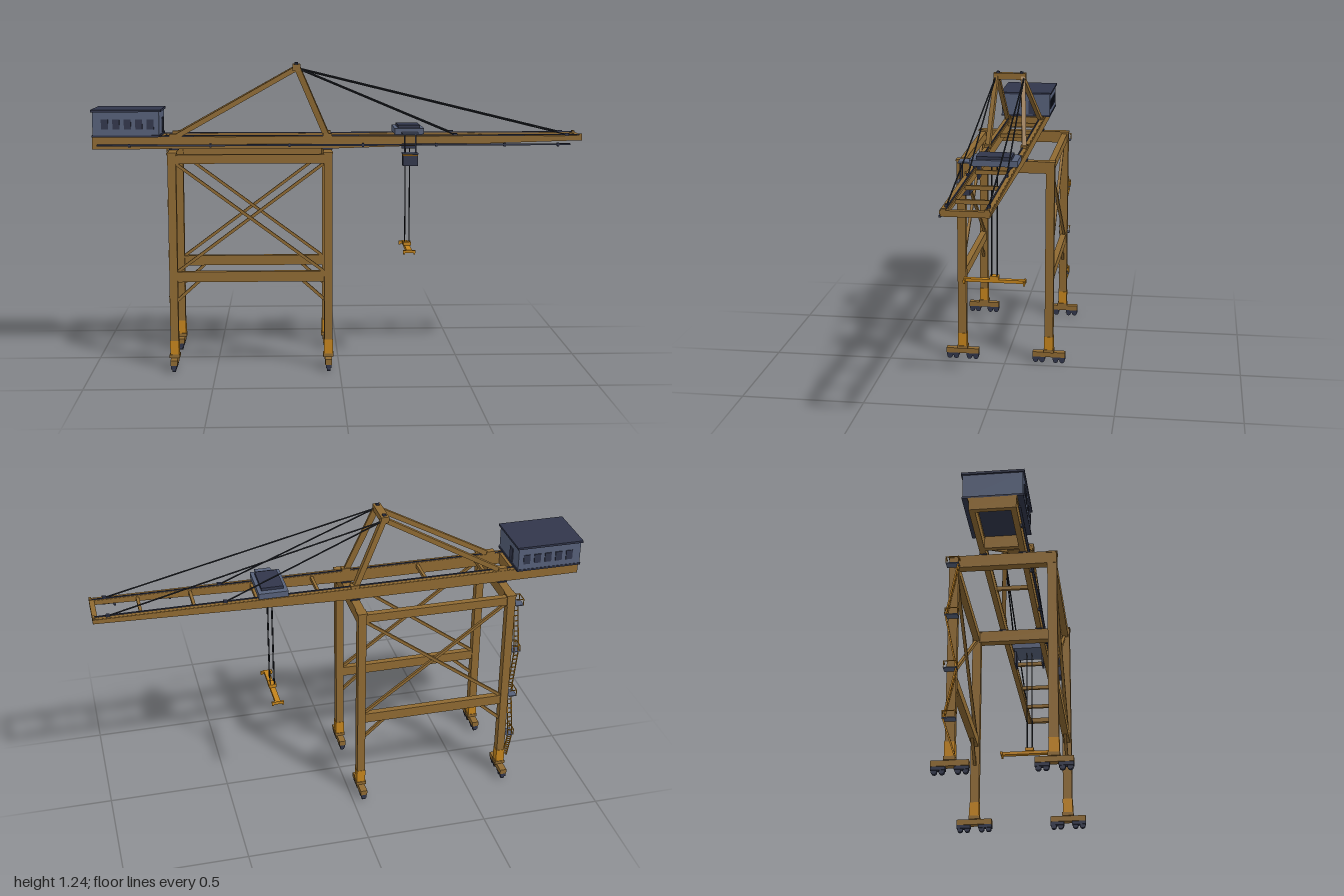
import * as THREE from 'three';

const mat = (name, color) => {
  const m = new THREE.MeshStandardMaterial({ color });
  m.name = name;
  return m;
};

export function createModel() {
  const root = new THREE.Group();
  root.name = 'gantryCrane';
  const steel = mat('ochre steel', 0x8f6a32);
  const orange = mat('safety orange', 0xc4841c);
  const slate = mat('slate panel', 0x566079);
  const dark = mat('dark navy', 0x31364b);
  const cable = mat('cable black', 0x23272f);

  const add = (name, geo, m) => {
    const mesh = new THREE.Mesh(geo, m);
    mesh.name = name;
    root.add(mesh);
    return mesh;
  };
  // Box given by its centre and size
  const box = (name, m, x, y, z, w, h, d) => {
    const mesh = add(name, new THREE.BoxGeometry(w, h, d), m);
    mesh.position.set(x, y, z);
    return mesh;
  };
  // Square beam between two points
  const strut = (name, m, a, b, w, h = w) => {
    const p = new THREE.Vector3(...a), q = new THREE.Vector3(...b);
    const mesh = add(name, new THREE.BoxGeometry(w, h, p.distanceTo(q)), m);
    mesh.position.copy(p).add(q).multiplyScalar(0.5);
    mesh.lookAt(q);
    return mesh;
  };
  // Round rope between two points
  const rope = (name, a, b, r) => {
    const path = new THREE.LineCurve3(new THREE.Vector3(...a), new THREE.Vector3(...b));
    return add(name, new THREE.TubeGeometry(path, 1, r, 6), cable);
  };

  const XB = -0.67, XF = -0.045, ZL = 0.187;

  // Legs, collars and rail bogies
  for (const x of [XB, XF]) {
    for (const s of [-1, 1]) {
      const z = s * ZL;
      box('leg', steel, x, 0.468, z, 0.033, 0.836, 0.036);
      box('legBand', orange, x, 0.09, z, 0.036, 0.06, 0.039);
      box('legFoot', steel, x, 0.056, z, 0.042, 0.014, 0.044);
      box('bogieBeam', steel, x, 0.039, z, 0.028, 0.022, 0.14);
      for (const t of [-0.043, 0.043]) {
        box('bogieTruck', dark, x, 0.022, z + t, 0.022, 0.014, 0.054);
        for (const w of [-0.014, 0.014]) {
          const wheel = add('wheel', new THREE.CylinderGeometry(0.011, 0.011, 0.014, 14), dark);
          wheel.rotation.z = Math.PI / 2;
          wheel.position.set(x, 0.011, z + t + w);
        }
      }
    }
    // Cross beam over each pair of legs
    box('portalBeam', steel, x, 0.862, 0, 0.035, 0.05, 0.41);
    for (const s of [-1, 1]) box('legCap', steel, x, 0.884, s * ZL, 0.04, 0.006, 0.042);
  }

  // Side frames: long beams, X bracing and knee braces
  const mid = (XB + XF) / 2, span = XF - XB;
  for (const s of [-1, 1]) {
    const z = s * ZL;
    box('upperSideBeam', steel, mid, 0.86, z, span, 0.036, 0.026);
    box('lowerSideBeam', steel, mid, 0.382, z, span, 0.042, 0.026);
    strut('crossBrace', steel, [XB + 0.015, 0.842, z + 0.004], [XF - 0.015, 0.4, z + 0.004], 0.012);
    strut('crossBrace', steel, [XB + 0.015, 0.4, z - 0.004], [XF - 0.015, 0.842, z - 0.004], 0.012);
    strut('kneeBrace', steel, [XB + 0.01, 0.28, z], [XB + 0.105, 0.365, z], 0.012);
    strut('kneeBrace', steel, [XF - 0.01, 0.28, z], [XF - 0.105, 0.365, z], 0.012);
  }

  // Twin girders, tapering toward the tip
  const profile = new THREE.Shape();
  [[-1, 0.89], [XF, 0.89], [1, 0.921], [1, 0.941], [-1, 0.941]].forEach(([x, y], i) =>
    i ? profile.lineTo(x, y) : profile.moveTo(x, y));
  for (const s of [-1, 1]) {
    const g = new THREE.ExtrudeGeometry(profile, { depth: 0.022, bevelEnabled: false });
    add('boomGirder', g, steel).position.z = s * 0.076 - 0.011;
    box('trolleyRail', dark, 0, 0.943, s * 0.07, 1.98, 0.004, 0.005);
    box('girderFlange', steel, 0, 0.935, s * 0.077, 2, 0.01, 0.026);
    for (const x of [XB, XF]) box('girderSaddle', dark, x, 0.889, s * 0.076, 0.04, 0.006, 0.03);
  }
  for (const x of [-0.6, -0.35, 0.1, 0.35, 0.6, 0.81])
    box('boomCrossTie', steel, x, 0.926, 0, 0.012, 0.016, 0.14);
  box('tailBeam', steel, -0.99, 0.915, 0, 0.02, 0.05, 0.17);
  box('tailBeam', steel, -0.72, 0.915, 0, 0.02, 0.05, 0.14);
  box('tipBeam', steel, 0.99, 0.931, 0, 0.02, 0.022, 0.172);
  for (const s of [-1, 1]) box('tipStop', steel, 0.995, 0.943, s * 0.076, 0.01, 0.01, 0.018);

  // Power cable tray along the front girder
  box('cableTray', dark, -0.015, 0.906, 0.097, 1.93, 0.007, 0.009);
  for (const x of [-0.85, -0.52, -0.2, 0.1, 0.4, 0.68, 0.9])
    box('trayBracket', dark, x, 0.905, 0.092, 0.008, 0.014, 0.02);

  // Machinery house
  box('houseFloor', dark, -0.86, 0.945, 0, 0.276, 0.008, 0.226);
  box('houseWalls', slate, -0.86, 0.994, 0, 0.268, 0.1, 0.222);
  box('houseRoof', dark, -0.86, 1.047, 0, 0.282, 0.009, 0.234);
  for (const s of [-1, 1])
    for (let i = 0; i < 5; i++)
      box('houseWindow', dark, -0.945 + i * 0.046, 0.993, s * 0.112, 0.028, 0.04, 0.005);
  box('houseDoor', dark, -0.725, 0.982, -0.03, 0.005, 0.06, 0.032);

  // A-frame mast and stays
  const apex = [-0.17, 1.215];
  for (const s of [-1, 1]) {
    strut('mastFrontLeg', steel, [XF, 0.935, s * 0.076], [apex[0] + 0.005, apex[1], s * 0.056], 0.018, 0.024);
    strut('mastBackLeg', steel, [XB, 0.935, s * 0.076], [apex[0], apex[1], s * 0.052], 0.018, 0.02);
    box('mastFoot', steel, XF, 0.945, s * 0.076, 0.036, 0.014, 0.026);
    box('mastFoot', steel, XB, 0.945, s * 0.076, 0.036, 0.014, 0.026);
    box('staySheave', dark, apex[0], 1.234, s * 0.05, 0.014, 0.007, 0.012);
    for (const x of [0.48, 0.94]) {
      rope('stay', [apex[0] + 0.01, 1.212, s * 0.06], [x, 0.943, s * 0.074], 0.003);
      box('stayAnchor', dark, x, 0.945, s * 0.074, 0.016, 0.01, 0.012);
    }
  }
  box('mastHead', steel, apex[0], 1.218, 0, 0.032, 0.026, 0.136);

  // Trolley
  const TX = 0.29;
  box('trolleyFrame', slate, TX, 0.96, -0.004, 0.12, 0.024, 0.19);
  box('trolleyCover', dark, TX, 0.977, -0.004, 0.09, 0.014, 0.14);
  box('trolleyWalkway', slate, TX, 0.954, 0.115, 0.066, 0.006, 0.05);
  for (const s of [-1, 1]) {
    box('trolleyHanger', dark, TX, 0.918, s * 0.06, 0.06, 0.06, 0.008);
    for (const t of [-1, 1]) box('trolleyWheelBox', dark, TX + t * 0.042, 0.946, s * 0.07, 0.022, 0.01, 0.014);
  }

  // Operator cabin
  box('cabin', dark, TX, 0.846, 0.119, 0.06, 0.046, 0.052);
  box('cabinRoof', slate, TX, 0.873, 0.119, 0.064, 0.005, 0.056);
  box('cabinTrim', orange, TX, 0.867, 0.119, 0.062, 0.004, 0.054);
  for (const t of [-1, 1]) box('cabinHanger', dark, TX + t * 0.022, 0.914, 0.132, 0.005, 0.08, 0.005);

  // Hoist ropes and spreader
  for (const s of [-1, 1])
    for (const x of [0.281, 0.299])
      rope('hoistRope', [x, 0.95, s * 0.011], [x, 0.488, s * 0.011], 0.0016);
  box('headBlock', orange, TX, 0.482, 0, 0.032, 0.014, 0.036);
  box('spreaderBeam', orange, TX, 0.468, 0, 0.022, 0.013, 0.25);
  for (const s of [-1, 1]) {
    box('spreaderEnd', orange, TX, 0.467, s * 0.121, 0.05, 0.011, 0.009);
    for (const t of [-1, 1]) box('twistLock', orange, TX + t * 0.021, 0.46, s * 0.121, 0.007, 0.008, 0.007);
  }

  // Access platforms and stairs on the back leg
  const levels = [0.2, 0.4, 0.62, 0.84], PX = -0.705;
  levels.forEach((y, i) => {
    box('platform', slate, PX, y, -0.188, 0.034, 0.004, 0.05);
    for (const z of [-0.212, -0.164]) {
      box('railPost', orange, -0.72, y + 0.014, z, 0.003, 0.028, 0.003);
      box('sideRail', orange, PX, y + 0.027, z, 0.034, 0.003, 0.003);
    }
    box('handRail', orange, -0.72, y + 0.027, -0.188, 0.003, 0.003, 0.05);
    const low = i ? levels[i - 1] : 0.06, d = i % 2 ? 1 : -1;
    const a = -0.188 - d * 0.022, b = -0.188 + d * 0.022;
    for (const x of [-0.714, -0.696])
      strut('stairStringer', orange, [x, low, a], [x, y, b], 0.003, 0.006);
    for (let k = 1; k < 10; k++)
      box('stairTread', orange, PX, low + (y - low) * k / 10, a + (b - a) * k / 10, 0.018, 0.002, 0.006);
  });

  return root;
}
